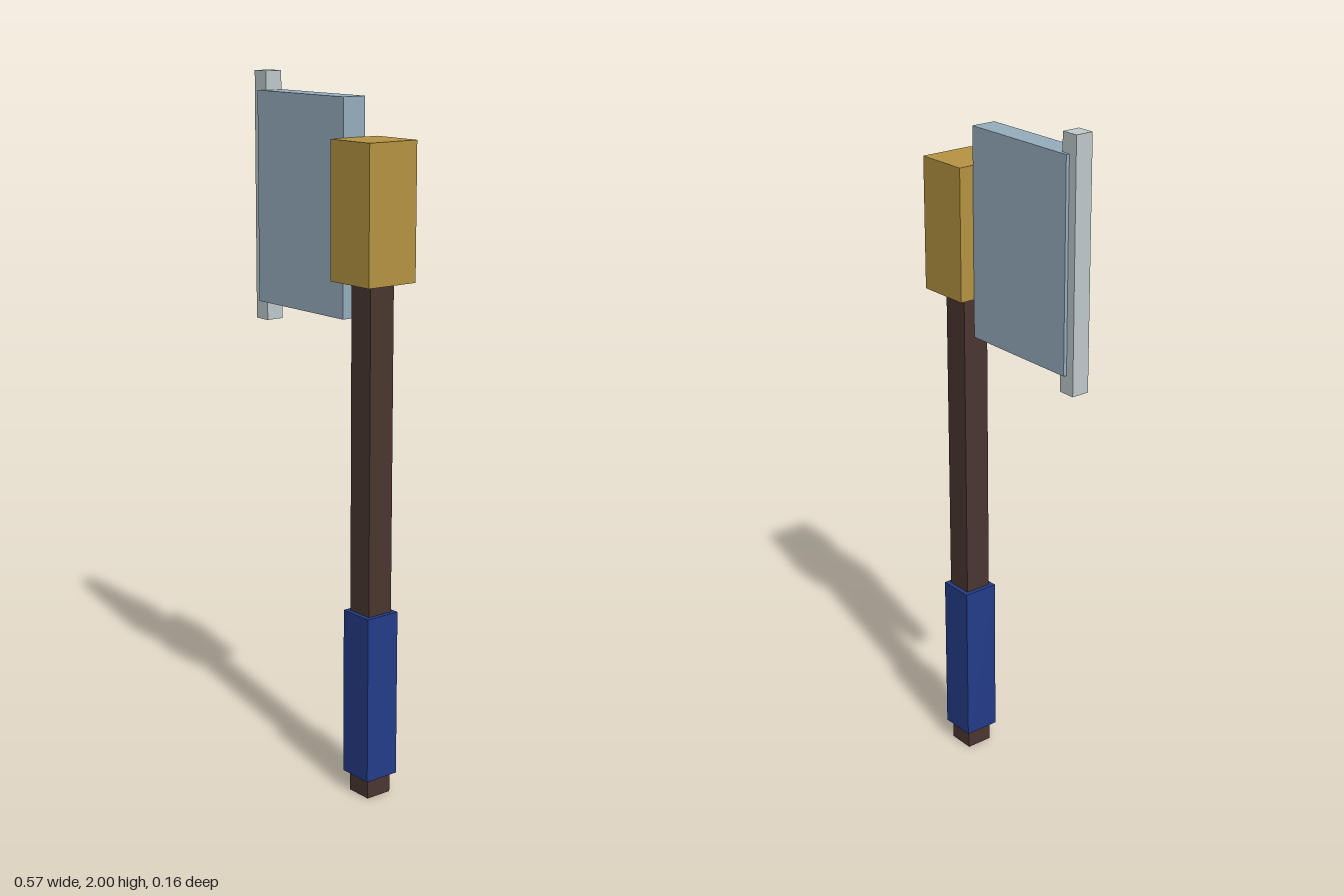
import * as THREE from 'three';

const material = (name, color) => {
  const m = new THREE.MeshStandardMaterial({ color });
  m.name = name;
  return m;
};

export function createModel() {
  const axe = new THREE.Group();
  axe.name = 'axe';

  const wood = material('dark wood', 0x4a3630);
  const wrap = material('blue wrap', 0x243c88);
  const gold = material('gold', 0xb59341);
  const steel = material('blue steel', 0x96adbd);
  const edge = material('pale edge', 0xbec9cc);

  // Square-section block given by its x range, y range and depth in z
  const block = (name, mat, x0, x1, y0, y1, depth) => {
    const mesh = new THREE.Mesh(new THREE.BoxGeometry(x1 - x0, y1 - y0, depth), mat);
    mesh.position.set((x0 + x1) / 2, (y0 + y1) / 2, 0);
    mesh.name = name;
    axe.add(mesh);
  };

  // Shaft with its hand grip
  block('handle', wood, 0.162, 0.242, 0, 1.5, 0.08);
  block('grip', wrap, 0.149, 0.255, 0.058, 0.54, 0.106);

  // Head: socket, blade and cutting edge
  block('socket', gold, 0.122, 0.283, 1.464, 1.84, 0.161);
  block('blade', steel, -0.257, 0.122, 1.355, 1.947, 0.073);
  block('cuttingEdge', edge, -0.283, -0.231, 1.302, 2, 0.053);

  return axe;
}
